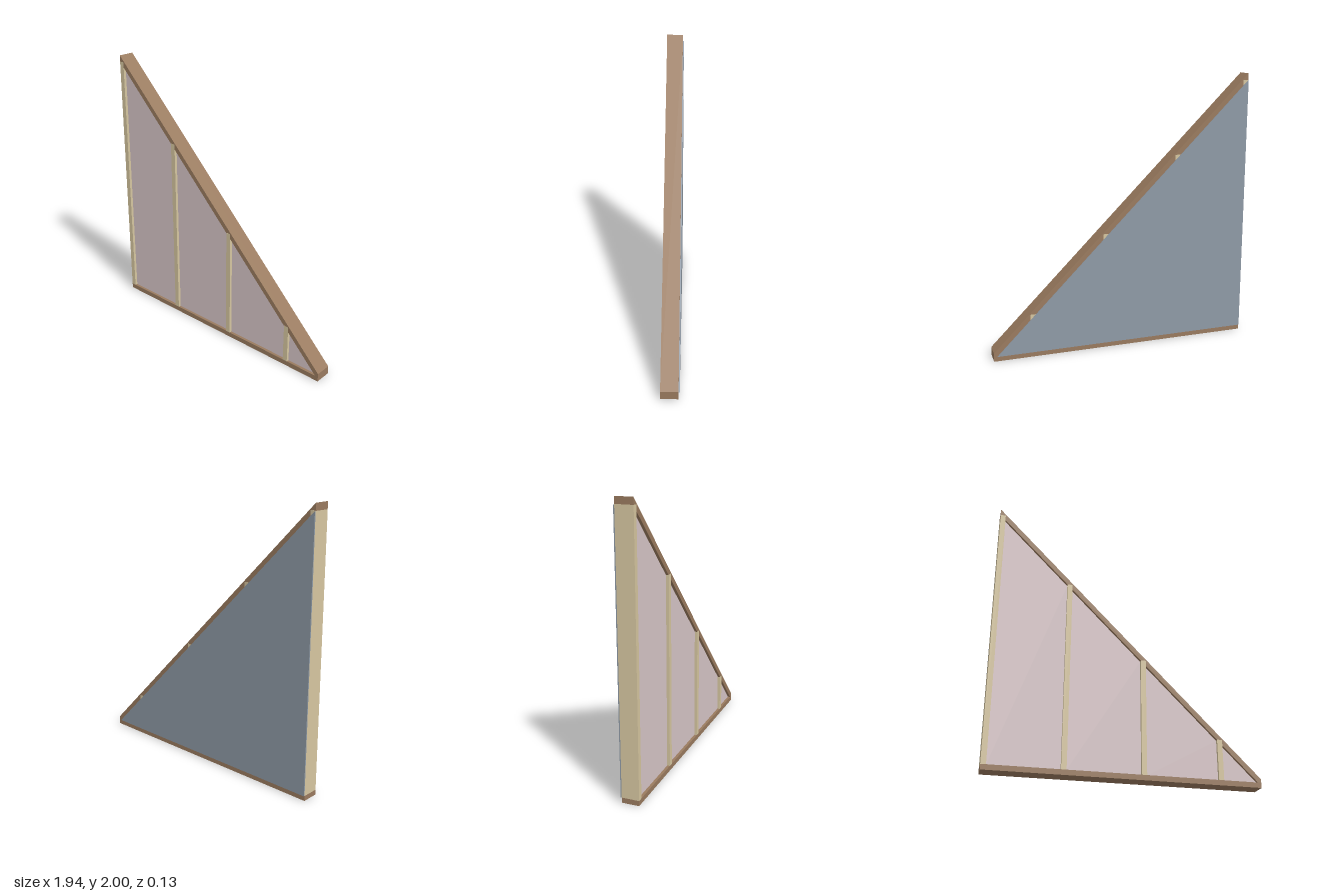
import * as THREE from 'three';

const LEFT = -0.968, RIGHT = 0.968, TOP = 2, END = 0.062;
const PLATE = 0.037;            // thickness of the framing timber
const RAKE = 0.05;              // upright thickness of the sloping plate
const BACK = -0.058, FRONT = 0.066;
const slope = (TOP - END) / (RIGHT - LEFT);
const upper = x => TOP - (x - LEFT) * slope;
const lower = x => upper(x) - RAKE;
const tip = LEFT + (TOP - RAKE - PLATE) / slope;  // where the rake meets the bottom plate

const mat = color => new THREE.MeshStandardMaterial({ color, flatShading: true });

// Flat polygon in x/y, extruded from z0 to z1
function slab(name, points, z0, z1, material) {
  const shape = new THREE.Shape(points.map(p => new THREE.Vector2(...p)));
  const geo = new THREE.ExtrudeGeometry(shape, { depth: z1 - z0, bevelEnabled: false });
  geo.translate(0, 0, z0);
  const mesh = new THREE.Mesh(geo, material);
  mesh.name = name;
  return mesh;
}

export function createModel() {
  const group = new THREE.Group();
  group.name = 'gableWallFrame';
  const plateMat = mat(0x9a7b5f);
  const studMat = mat(0xd6c6a0);
  const fillMat = mat(0xd8c6c8);
  const boardMat = mat(0x8f9aa6);

  // Bottom plate and sloping top plate
  group.add(slab('bottomPlate',
    [[LEFT, 0], [RIGHT, 0], [RIGHT, PLATE], [LEFT, PLATE]], BACK, FRONT, plateMat));
  group.add(slab('slopingTopPlate',
    [[LEFT, lower(LEFT)], [RIGHT, lower(RIGHT)], [RIGHT, END], [LEFT, TOP]], BACK, FRONT, plateMat));

  // Square-topped studs, a hair proud of the plate they run into
  const studs = [LEFT, -0.444, 0.106, 0.657];
  studs.forEach(x => {
    const top = lower(x) + 0.003;
    group.add(slab('stud',
      [[x, PLATE], [x + PLATE, PLATE], [x + PLATE, top], [x, top]],
      BACK - 0.0005, FRONT + 0.0005, studMat));
  });

  // Insulation filling each bay, set back from the front
  studs.forEach((x, i) => {
    const a = x + PLATE;
    const b = i < studs.length - 1 ? studs[i + 1] : tip;
    const outline = [[a, PLATE], [b, PLATE]];
    if (b < tip) outline.push([b, lower(b)]);
    outline.push([a, lower(a)]);
    group.add(slab('insulation', outline, BACK, FRONT - 0.02, fillMat));
  });

  // Sheathing board on the back
  group.add(slab('sheathing',
    [[LEFT, PLATE], [tip, PLATE], [LEFT, lower(LEFT)]], BACK - 0.008, BACK, boardMat));

  return group;
}
